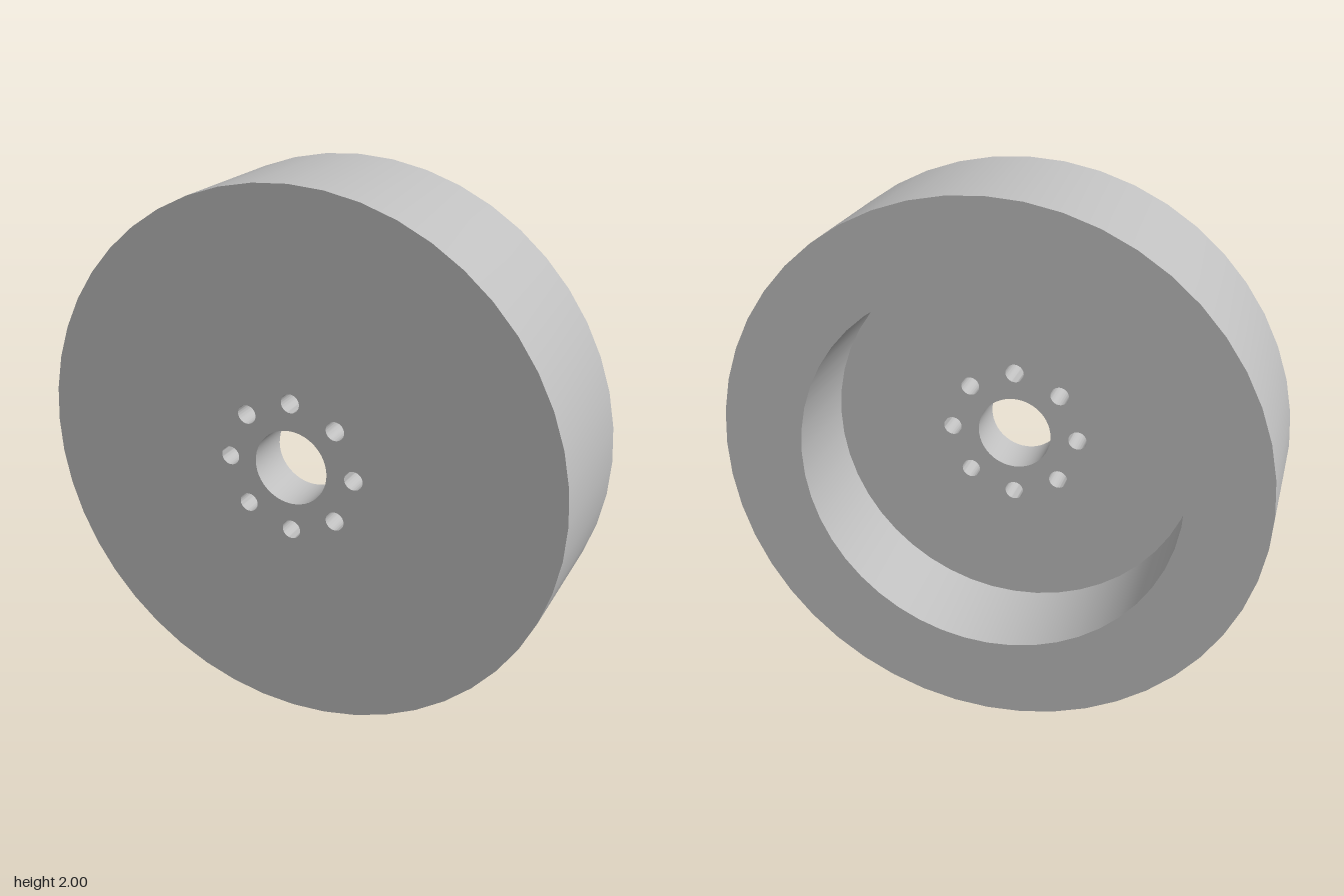
import * as THREE from 'three';
import { toCreasedNormals } from 'three/addons/utils/BufferGeometryUtils.js';

const WIDTH = 0.55, PLATE = 0.18, RADIUS = 1, RECESS = 0.7;
const BORE = 0.14, BOLT_RING = 0.243, BOLT = 0.035, BOLTS = 8;

function circle(Type, x, y, r) {
  const path = new Type();
  path.absarc(x, y, r, 0, Math.PI * 2, false);
  return path;
}

// Round slab with holes, running back from the front face
function disc(name, radius, holes, depth, material) {
  const shape = circle(THREE.Shape, 0, 0, radius);
  shape.holes = holes;
  const geometry = new THREE.ExtrudeGeometry(shape, { depth, bevelEnabled: false, curveSegments: 24 });
  geometry.translate(0, 0, WIDTH / 2 - depth);
  const mesh = new THREE.Mesh(toCreasedNormals(geometry, Math.PI / 5), material);
  mesh.name = name;
  return mesh;
}

export function createModel() {
  const grey = new THREE.MeshStandardMaterial({ color: 0xbfbfbf });
  grey.name = 'grey';

  const wheel = new THREE.Group();
  wheel.name = 'wheel';
  wheel.position.y = RADIUS;

  // Full-width rim, open at the back
  wheel.add(disc('rim', RADIUS, [circle(THREE.Path, 0, 0, RECESS)], WIDTH, grey));

  // Front plate with centre bore and a ring of bolt holes
  const holes = [circle(THREE.Path, 0, 0, BORE)];
  for (let i = 0; i < BOLTS; i++) {
    const a = (i / BOLTS) * Math.PI * 2;
    holes.push(circle(THREE.Path, BOLT_RING * Math.cos(a), BOLT_RING * Math.sin(a), BOLT));
  }
  wheel.add(disc('hubPlate', RECESS, holes, PLATE, grey));

  const model = new THREE.Group();
  model.name = 'model';
  model.add(wheel);
  return model;
}
